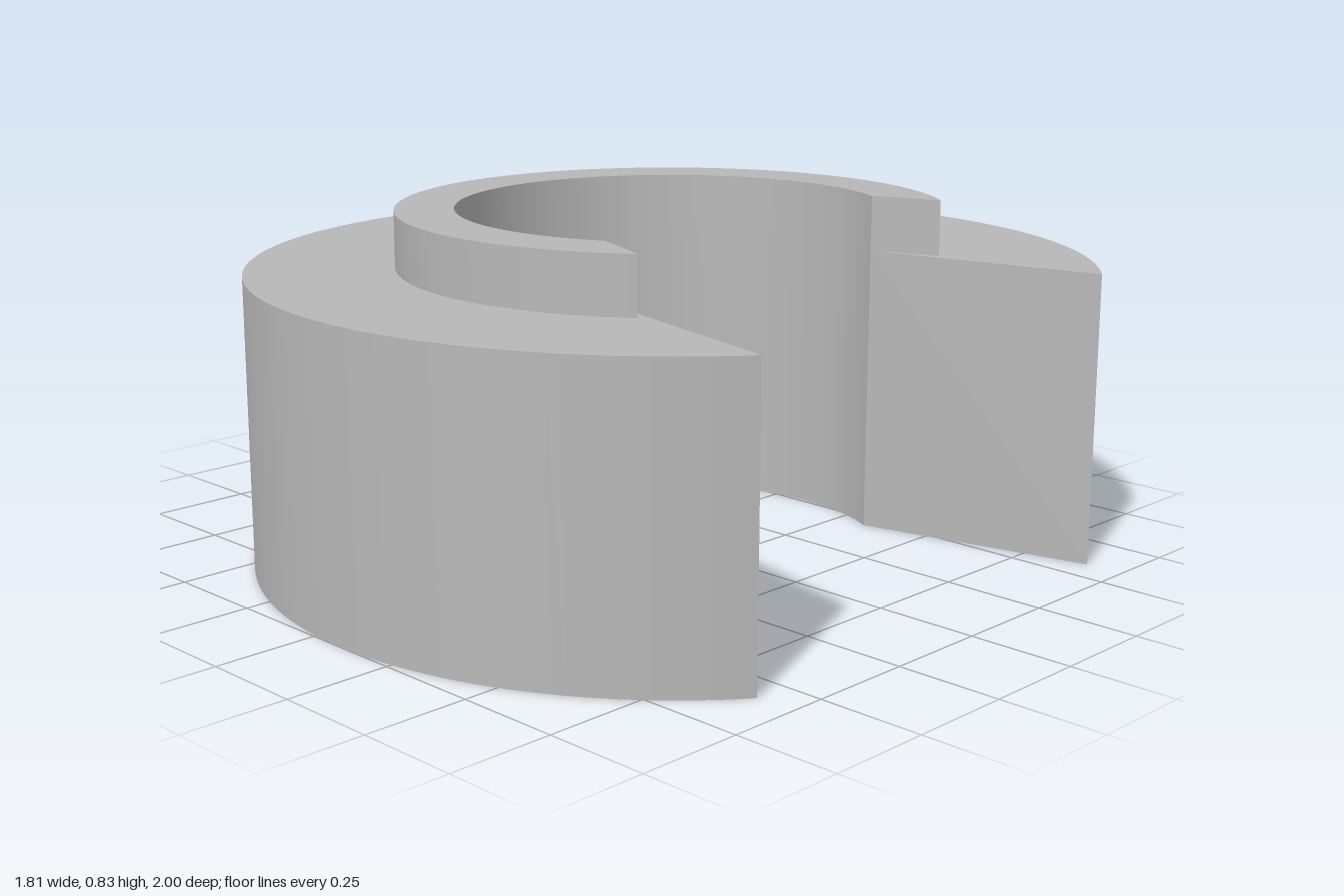
import * as THREE from 'three';
import { toCreasedNormals } from 'three/addons/utils/BufferGeometryUtils.js';

const CENTRE_X = 0.095;
const BORE = { radius: 0.51, angle: THREE.MathUtils.degToRad(61.8) };

// C-shaped ring: the gap faces +x, with slanted end faces from the bore to the rim
function openRing(name, rim, bottom, top, material) {
  const shape = new THREE.Shape();
  shape.absarc(0, 0, rim.radius, rim.angle, 2 * Math.PI - rim.angle, false);
  shape.absarc(0, 0, BORE.radius, 2 * Math.PI - BORE.angle, BORE.angle, true);
  shape.closePath();

  const extruded = new THREE.ExtrudeGeometry(shape, {
    depth: top - bottom, bevelEnabled: false, curveSegments: 72,
  });
  extruded.rotateX(-Math.PI / 2).translate(CENTRE_X, bottom, 0);

  const mesh = new THREE.Mesh(toCreasedNormals(extruded, Math.PI / 7), material);
  mesh.name = name;
  return mesh;
}

export function createModel() {
  const grey = new THREE.MeshStandardMaterial({ color: 0xb8b8b8 });
  grey.name = 'plain grey';

  const model = new THREE.Group();
  model.name = 'slottedCollar';

  // Thick lower ring, and the thin raised lip around the bore
  model.add(
    openRing('body', { radius: 1, angle: THREE.MathUtils.degToRad(35.8) }, 0, 0.7, grey),
    openRing('raisedLip', { radius: 0.65, angle: THREE.MathUtils.degToRad(51.9) }, 0.7, 0.835, grey),
  );
  return model;
}
